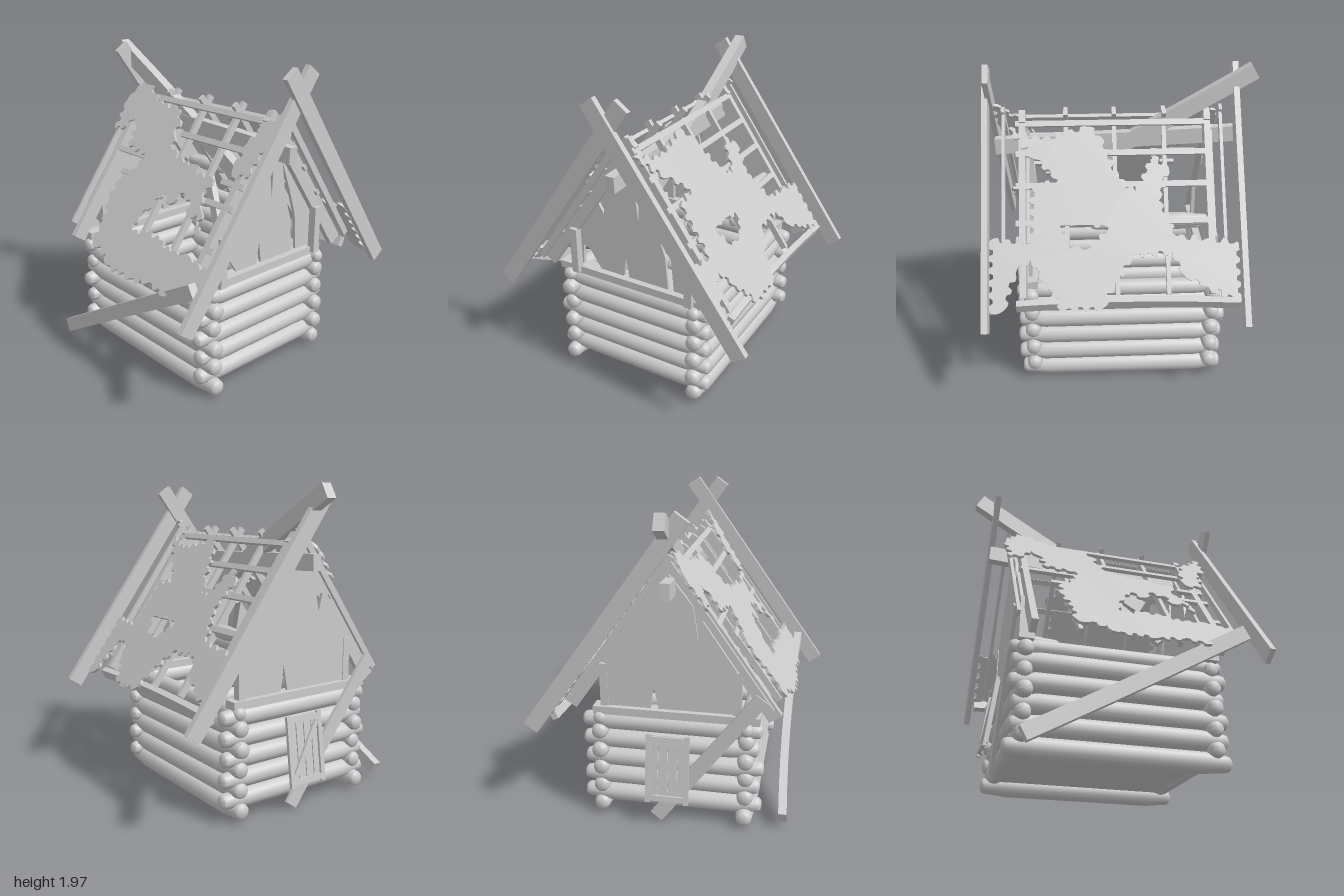
import * as THREE from 'three';
import { toCreasedNormals } from 'three/addons/utils/BufferGeometryUtils.js';

const material = new THREE.MeshStandardMaterial({ color: 0xcccccc });
const ANGLE = Math.atan(1.42); // roof pitch
const RIDGE = 1.76;
const V = (x, y, z) => new THREE.Vector3(x, y, z);

let seed = 7;
const rand = () => (seed = (seed * 16807) % 2147483647) / 2147483647;

function add(parent, name, geometry) {
  const mesh = new THREE.Mesh(geometry, material);
  mesh.name = name;
  parent.add(mesh);
  return mesh;
}

// Round log with worn, domed ends running from a to b
function log(parent, name, a, b, r) {
  const h = a.distanceTo(b) / 2, e = r * 0.8;
  const end = [[0, 0], [e * 0.6, 0.004], [e * 0.88, 0.015], [e, 0.04], [e * 1.04, 0.08], [r, 0.17]];
  const p = [...end.map(([x, y]) => [x, y - h]), ...end.reverse().map(([x, y]) => [x, h - y])];
  const g = new THREE.LatheGeometry(p.map(([x, y]) => new THREE.Vector2(x, y)), 14);
  const mesh = add(parent, name, toCreasedNormals(g, 0.7));
  mesh.position.copy(a).add(b).multiplyScalar(0.5);
  mesh.quaternion.setFromUnitVectors(V(0, 1, 0), b.clone().sub(a).normalize());
}

// Squared timber from a to b; "thin" is the direction of its thickness, "bow" its sideways bend
function beam(parent, name, a, b, width, thick, thin, bow = 0) {
  const len = a.distanceTo(b);
  const g = new THREE.BoxGeometry(len, width, thick, 8, 1, 1);
  const p = g.attributes.position;
  for (let i = 0; i < p.count; i++) {
    const t = (2 * p.getX(i)) / len;
    p.setZ(i, p.getZ(i) + bow * (t * t - 0.5));
  }
  g.computeVertexNormals();
  const mesh = add(parent, name, g);
  const dx = b.clone().sub(a).normalize();
  const dy = thin.clone().cross(dx).normalize();
  const dz = dx.clone().cross(dy);
  mesh.quaternion.setFromRotationMatrix(new THREE.Matrix4().makeBasis(dx, dy, dz));
  mesh.position.copy(a).add(b).multiplyScalar(0.5);
}

// Outline in hundredths -> points whose edges are broken into shingle-like teeth
function ragged(flat, sx, tooth) {
  const pts = [], out = [];
  for (let i = 0; i < flat.length; i += 2)
    pts.push(new THREE.Vector2(flat[i] * sx / 100, -flat[i + 1] / 100));
  pts.forEach((p, i) => {
    const d = pts[(i + 1) % pts.length].clone().sub(p);
    const n = Math.max(1, Math.round(d.length() / 0.036));
    const side = new THREE.Vector2(-d.y, d.x).normalize();
    out.push(p);
    for (let k = 1; k < n; k++) {
      const off = (k % 2 ? 1 : -1) * tooth * (0.5 + 0.5 * rand());
      for (const t of [k - 0.3, k + 0.3])
        out.push(p.clone().addScaledVector(d, t / n).addScaledVector(side, off));
    }
  });
  return out;
}

function sheet(parent, name, outline, sx, holes = []) {
  const shape = new THREE.Shape(ragged(outline, sx, 0.018));
  for (const h of holes) shape.holes.push(new THREE.Path(ragged(h, sx, 0.014)));
  add(parent, name, new THREE.ExtrudeGeometry(shape, { depth: 0.018, bevelEnabled: false })).position.z = -0.018;
}

// Remaining shingles as pairs (across, distance down the slope)
const frontShingles = [-64, 20, -60, 13, -56, 4, -47, 3, -40, 11, -27, 17, -12, 17, -4, 24, -3, 35, 2, 44,
  16, 50, 25, 49, 38, 55, 46, 54, 43, 66, 48, 74, 52, 88, 46, 77, 39, 80, 35, 70, 25, 69, 21, 77, 12, 72, 7, 80,
  1, 91, 1, 101, 14, 98, 27, 99, 39, 103, 51, 100, 59, 103, 67, 105, 78, 103, 78, 112, 72, 118, 59, 120,
  51, 127, 33, 125, 17, 128, -7, 127, -12, 121, -23, 120, -30, 117, -29, 103, -35, 87, -33, 74, -22, 63,
  -21, 52, -39, 51, -43, 35, -48, 28, -53, 38, -62, 42];
const cornerShingles = [56, 44, 58, 28, 64, 15, 79, 1, 79, 19, 72, 26, 70, 44, 62, 50];
const backShingles = [-68, 126, -49, 116, -35, 109, -28, 95, -4, 97, 7, 113, 14, 127, 38, 128, 49, 111, 57, 97,
  66, 105, 73, 127, 81, 129, 81, 85, 57, 87, 56, 54, 40, 49, 54, 36, 71, 16, 50, 24, 21, 16, 14, 22, 3, 49,
  -7, 57, -18, 35, -28, 43, -21, 63, -31, 85, -49, 87, -68, 89];
const backHole = [10, 79, 21, 91, 33, 91, 39, 77, 24, 76];

// One roof slope: local y runs up the slope, local z points outwards
function slope(parent, name, sx, battens) {
  const turn = new THREE.Group(), g = new THREE.Group();
  turn.name = name;
  turn.rotation.y = sx < 0 ? Math.PI : 0;
  g.rotation.x = ANGLE - Math.PI / 2;
  g.position.y = RIDGE;
  turn.add(g);
  parent.add(turn);
  const out = V(0, 0, 1);
  for (const x of [-0.26, 0.05, 0.35])
    beam(g, 'rafter', V(x * sx, -0.02, -0.065), V(x * sx, -1.2, -0.065), 0.026, 0.04, out);
  for (const x of [-0.53, 0.62])
    beam(g, 'endRafter', V(x * sx, -0.05, -0.065), V(x * sx, -1.2, -0.065), 0.04, 0.09, out);
  for (const x of [-0.615, 0.735])
    beam(g, 'vergeRafter', V(x * sx, -0.02, -0.04), V(x * sx, -1.12, -0.04), 0.02, 0.04, out);
  for (const [s, x0, x1] of battens)
    beam(g, 'batten', V(x0 * sx, -s, -0.032), V(x1 * sx, -s, -0.032), 0.036, 0.024, out);
  return g;
}

// Gable boarding with splintered cracks, outline in (z, y) hundredths
function gable(parent, x, outline) {
  const s = new THREE.Shape();
  for (let i = 0; i < outline.length; i += 2)
    s[i ? 'lineTo' : 'moveTo'](-outline[i] / 100, outline[i + 1] / 100);
  const mesh = add(parent, 'gable', new THREE.ExtrudeGeometry(s, { depth: 0.02, bevelEnabled: false }));
  mesh.rotation.y = Math.PI / 2;
  mesh.position.x = x;
}

export function createModel() {
  const root = new THREE.Group();
  root.name = 'ruinedLogCabin';

  // Log walls with interlocking corners
  const walls = new THREE.Group();
  walls.name = 'walls';
  root.add(walls);
  for (let i = 0; i < 6; i++) {
    const y = i < 5 ? 0.088 + i * 0.126 : 0.68;
    for (const z of [0.47, -0.44]) {
      const j = () => (rand() - 0.5) * 0.04;
      log(walls, 'longLog', V(-0.635 + j(), y, z), V(0.68 + j(), y + j() * 0.2, z), i < 5 ? 0.064 : 0.052);
      if (i < 5) {
        const x = z > 0 ? -0.55 : 0.59;
        log(walls, 'sideLog', V(x, y + 0.063, -0.545 + j()), V(x, y + 0.063, 0.565 + j()), 0.06);
      }
    }
  }
  for (const x of [-0.55, 0.59])
    beam(walls, 'sidePlate', V(x, 0.73, -0.48), V(x, 0.73, 0.55), 0.09, 0.05, V(0, 1, 0));
  add(root, 'floor', new THREE.BoxGeometry(1.12, 0.03, 0.9)).position.set(0.02, 0.12, 0.015);

  // Corner posts
  for (const z of [0.41, -0.41])
    for (const x of [-0.55, 0.64])
      beam(root, 'cornerPost', V(x, 0.72, z), V(x, 1.03, z), 0.05, 0.05, V(1, 0, 0));

  // Loose logs heaped under the rear slope
  for (const [y, z, x1] of [[1.11, -0.36, -0.15], [0.86, -0.27, -0.2], [0.99, -0.17, 0.21]])
    log(root, 'looseLog', V(-0.52, y, z), V(x1, y, z), 0.045);

  // Gables
  gable(root, 0.58, [42, 76, 42, 100, 26, 124, 21, 116, 18, 134, 2, 157, -1, 140, -4, 117, -5, 140, -6, 151,
    -42, 100, -42, 76, -28, 76, -26, 100, -20, 118, -13, 136, -16, 116, -22, 98, -24, 76, 4, 76, 6, 90, 8, 76,
    25, 76, 33, 88, 38, 90, 39, 76]);
  gable(root, -0.57, [42, 76, 42, 101, 20, 133, 17, 122, 14, 142, 0, 160, -42, 101, -42, 76, -12, 76, -10, 92, -7, 76]);

  // Roof slopes with battens [distance down, from x, to x]
  const front = slope(root, 'frontRoof', 1, [[0.12, -0.42, 0.62], [0.32, 0.0, 0.66], [0.53, -0.56, -0.21],
    [0.53, 0.5, 0.68], [0.67, -0.38, -0.22], [0.67, 0.45, 0.68], [0.93, 0.6, 0.68]]);
  sheet(front, 'frontShingles', frontShingles, 1);
  sheet(front, 'cornerShingles', cornerShingles, 1);
  const back = slope(root, 'backRoof', -1,
    [[0.13, -0.54, 0.66], [0.32, -0.54, 0.66], [0.52, -0.54, 0.66], [0.75, -0.54, 0.66]]);
  sheet(back, 'backShingles', backShingles, -1, [backHole]);
  beam(root, 'backEave', V(-0.68, 0.72, -0.695), V(0.66, 0.72, -0.675), 0.065, 0.04, V(0, 0.4, 0.9), -0.02);

  // Crossing bargeboards; the front left one has fallen against the wall
  const X = V(1, 0, 0);
  beam(root, 'bargeboard', V(0.835, 1.955, 0.105), V(0.835, 0.635, -0.84), 0.1, 0.036, X);
  beam(root, 'bargeboard', V(0.815, 1.955, -0.105), V(0.815, 0.635, 0.84), 0.1, 0.034, X);
  beam(root, 'bargeboard', V(-0.707, 1.955, 0.105), V(-0.707, 0.635, -0.84), 0.1, 0.036, X);
  beam(root, 'fallenBargeboard', V(-0.58, 0.09, 0.695), V(0.74, 0.83, 0.695), 0.09, 0.052, V(0, 0, 1), 0.024);

  // Ridge timbers, one snapped and tilted up through the roof
  beam(root, 'ridgeBeam', V(-0.73, 1.54, 0.01), V(0.8, 1.475, 0.01), 0.1, 0.06, V(0, 0, 1));
  beam(root, 'brokenRidgeBeam', V(-0.82, 1.945, 0), V(0.34, 1.28, 0.01), 0.1, 0.065, V(0, 0, 1), 0.01);
  beam(root, 'brokenStrut', V(0.17, 1.22, 0.08), V(0.4, 0.95, 0.2), 0.06, 0.04, V(0, 0, 1));

  // Broken door and loose plank leaning on the left wall
  const door = new THREE.Group();
  door.name = 'door';
  door.position.set(-0.655, 0.4, 0);
  door.rotation.z = -0.13;
  root.add(door);
  for (let i = 0; i < 4; i++)
    beam(door, 'doorBoard', V(0, -0.21 + (i % 2) * 0.02, -0.09 + i * 0.06), V(0, 0.21, -0.09 + i * 0.06), 0.054, 0.014, X);
  for (const s of [-1, 1]) {
    beam(door, 'doorFrame', V(-0.012, s * 0.19, -0.13), V(-0.012, s * 0.19, 0.13), 0.035, 0.02, X);
    beam(door, 'doorFrame', V(-0.012, -0.22, s * 0.12), V(-0.012, 0.22, s * 0.12), 0.03, 0.02, X);
  }
  beam(door, 'doorBrace', V(-0.012, -0.18, -0.11), V(-0.012, 0.18, 0.11), 0.03, 0.018, X);
  beam(root, 'leaningPlank', V(-0.625, 0.045, -0.08), V(-0.625, 0.9, 0.56), 0.09, 0.022, X);

  return root;
}
